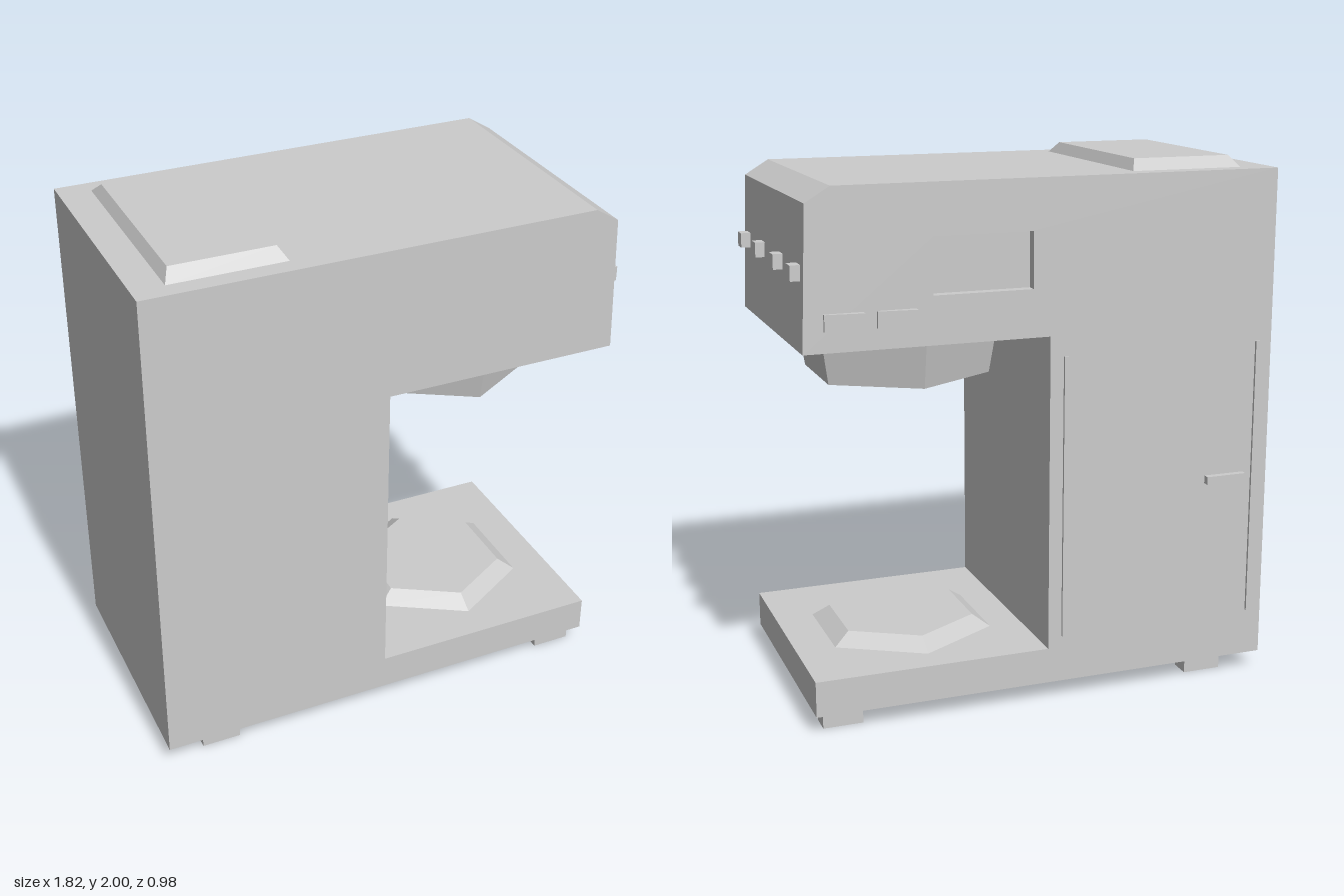
import * as THREE from 'three';

export function createModel() {
  const group = new THREE.Group();
  const material = new THREE.MeshStandardMaterial({ color: 0xcccccc, flatShading: true });

  const add = (name, geometry, x = 0, y = 0, z = 0) => {
    const mesh = new THREE.Mesh(geometry, material);
    mesh.name = name;
    mesh.position.set(x, y, z);
    group.add(mesh);
    return mesh;
  };

  // Box given by its lower and upper corners
  const addBox = (name, [x0, y0, z0], [x1, y1, z1]) =>
    add(name, new THREE.BoxGeometry(x1 - x0, y1 - y0, z1 - z0),
      (x0 + x1) / 2, (y0 + y1) / 2, (z0 + z1) / 2);

  const BACK = -0.465, FRONT = 0.485, RECESS = 0.04;

  // C-shaped housing: column, overhanging head with bevelled nose, and base
  const profile = () => new THREE.Shape([
    [-0.91, 0.07], [0.87, 0.07], [0.87, 0.205], [-0.02, 0.205], [-0.02, 1.395],
    [0.88, 1.395], [0.86, 1.905], [0.77, 1.96], [-0.91, 1.96],
  ].map(([x, y]) => new THREE.Vector2(x, y)));
  const extrude = (shape, depth) =>
    new THREE.ExtrudeGeometry(shape, { depth, bevelEnabled: false });
  add('housing', extrude(profile(), FRONT - BACK - RECESS), 0, 0, BACK + RECESS);

  // Back layer of the housing with the sunken display window
  const backShape = profile();
  backShape.holes.push(new THREE.Path([
    [0.045, 1.57], [0.045, 1.775], [0.415, 1.775], [0.415, 1.57],
  ].map(([x, y]) => new THREE.Vector2(x, y))));
  add('backPanelWithDisplayRecess', extrude(backShape, RECESS), 0, 0, BACK);

  // Lid with sloped sides on top
  const lid = new THREE.BoxGeometry(0.43, 0.04, 0.81);
  const lidPos = lid.attributes.position;
  for (let i = 0; i < lidPos.count; i++) {
    if (lidPos.getY(i) < 0) continue;
    lidPos.setX(i, lidPos.getX(i) - Math.sign(lidPos.getX(i)) * 0.025);
    lidPos.setZ(i, lidPos.getZ(i) - Math.sign(lidPos.getZ(i)) * 0.05);
  }
  lid.computeVertexNormals();
  add('topLid', lid, -0.577, 1.98, 0.01);

  // Hexagonal brew head and warming plate
  add('brewHead', new THREE.CylinderGeometry(0.385, 0.353, 0.18, 6), 0.415, 1.305, 0.002);
  add('warmingPlate', new THREE.CylinderGeometry(0.285, 0.355, 0.045, 6), 0.415, 0.2275, 0.002);

  // Feet
  for (const x of [-0.765, 0.685])
    for (const z of [-0.415, 0.365])
      addBox('foot', [x, 0, z], [x + 0.15, 0.07, z + 0.08]);

  // Row of small knobs on the nose
  for (const z of [0.415, 0.16, -0.132, -0.392])
    addBox('knob', [0.86, 1.64, z - 0.029], [0.905, 1.695, z + 0.029]);

  // Wedge-shaped buttons below the display
  for (const x of [0.478, 0.665]) {
    const wedge = new THREE.Shape();
    wedge.moveTo(0, 0.45);
    wedge.lineTo(0.14, 0.45);
    wedge.lineTo(0.14, 0.478);
    wedge.lineTo(0, 0.493);
    const button = add('backButton', extrude(wedge, 0.06), x, 1.47, 0);
    button.rotation.x = -Math.PI / 2;
    button.position.z = 0;
  }

  // Door edge strips and handle on the back of the column
  for (const x of [-0.86, -0.088])
    addBox('doorStrip', [x, 0.25, -0.475], [x + 0.016, 1.32, -0.45]);
  addBox('doorHandle', [-0.81, 0.785, -0.49], [-0.65, 0.815, -0.45]);

  return group;
}
